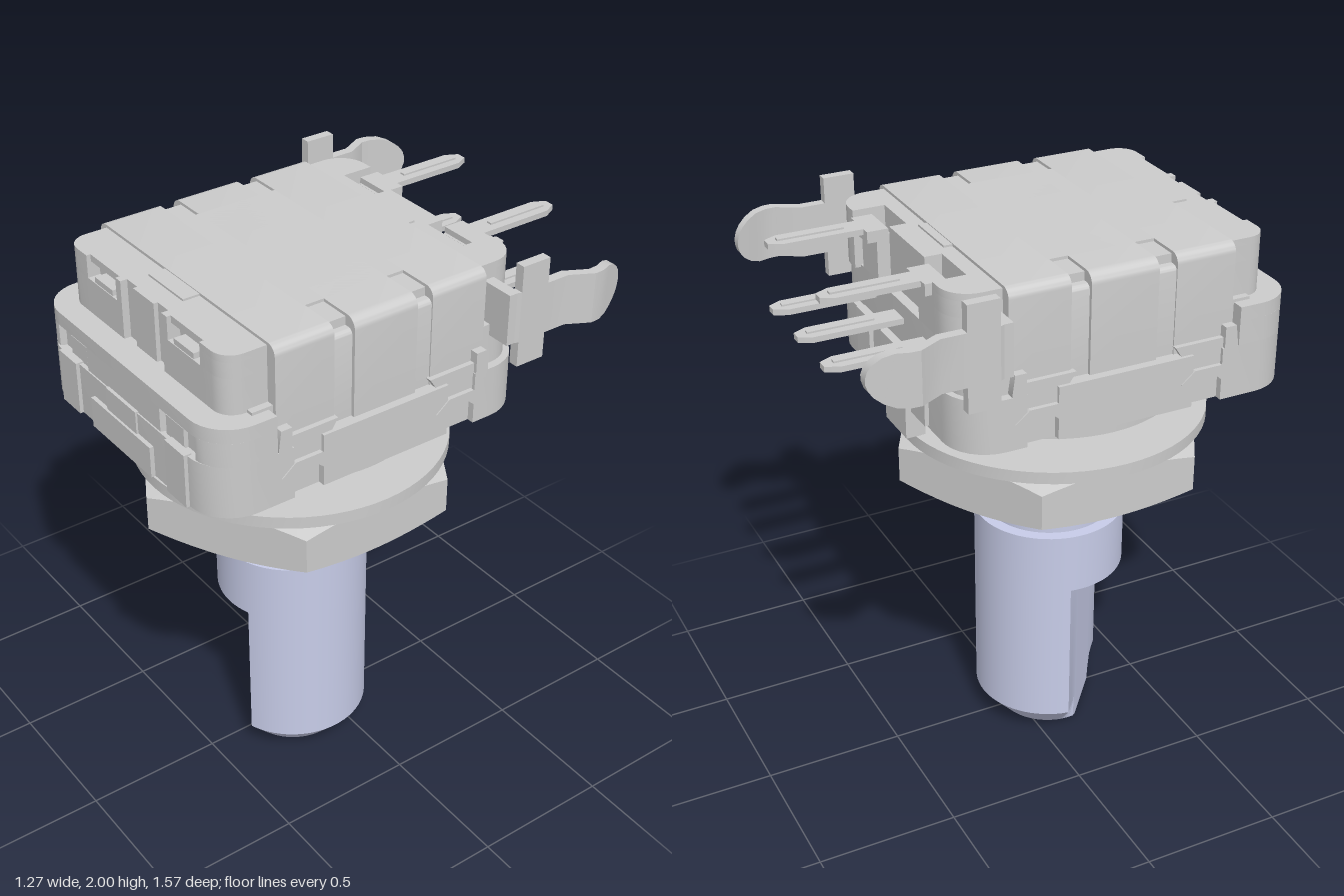
import * as THREE from 'three';
import { toCreasedNormals } from 'three/addons/utils/BufferGeometryUtils.js';

const grey = new THREE.MeshStandardMaterial({ color: 0xcccccc });
const blue = new THREE.MeshStandardMaterial({ color: 0xc7cce8 });
const AXIS = 0.127; // z of the shaft axis

export function createModel() {
  const root = new THREE.Group();
  const add = (name, geo, mat = grey, crease = 0.5) => {
    const mesh = new THREE.Mesh(toCreasedNormals(geo, crease), mat);
    mesh.name = name;
    root.add(mesh);
    return mesh;
  };
  // Box from its lower and upper limits
  const box = (name, x0, x1, y0, y1, z0, z1) => add(name,
    new THREE.BoxGeometry(x1 - x0, y1 - y0, z1 - z0).translate((x0 + x1) / 2, (y0 + y1) / 2, (z0 + z1) / 2));
  // The same box on the left and the right
  const pair = (name, x0, x1, ...rest) => {
    box(name, x0, x1, ...rest);
    box(name, -x1, -x0, ...rest);
  };
  const shapeOf = (pts) => new THREE.Shape(pts.map((p) => new THREE.Vector2(p[0], p[1])));
  const extrude = (pts, depth) => new THREE.ExtrudeGeometry(shapeOf(pts), { depth, bevelEnabled: false });
  // Plan outline (x, z) raised from y0 to y1
  const plan = (name, pts, y0, y1) => add(name, extrude(pts, y1 - y0).rotateX(Math.PI / 2).translate(0, y1, 0));
  // Side outline (z, y) between x0 and x1
  const side = (name, pts, x0, x1) => add(name, extrude(pts, x1 - x0).rotateY(-Math.PI / 2).translate(x1, 0, 0));
  const mirror = (half) => [...half, ...half.map(([x, z]) => [-x, z]).reverse()];
  const arc = (cx, cz, r, a0, a1) => Array.from({ length: 9 }, (_, i) => {
    const a = (a0 + (a1 - a0) * i / 8) * Math.PI / 180;
    return [cx + r * Math.cos(a), cz + r * Math.sin(a)];
  });
  // Surface around the shaft axis; f(row, angle) gives [radius, y], rows run upward
  const turned = (name, rows, seg, f, mat, crease) => {
    const pos = [], idx = [];
    for (let i = 0; i < rows; i++) for (let j = 0; j <= seg; j++) {
      const a = j / seg * Math.PI * 2, [r, y] = f(i, a);
      pos.push(r * Math.cos(a), y, AXIS + r * Math.sin(a));
      if (i < rows - 1 && j < seg) {
        const p = i * (seg + 1) + j, q = p + seg + 1;
        idx.push(p, q, p + 1, p + 1, q, q + 1);
      }
    }
    const g = new THREE.BufferGeometry();
    g.setAttribute('position', new THREE.Float32BufferAttribute(pos, 3));
    g.setIndex(idx);
    return add(name, g, mat, crease);
  };

  // Shaft with a slanted flat, a chamfered tip and a neck
  const shaftRows = [[0, 0], [0.185, 0], [0.27, 0.095], [0.27, 0.64], [0.27, 0.64], [0.27, 0.865],
    [0.228, 0.865], [0.228, 0.93]];
  turned('shaft', shaftRows.length, 72, (i, a) => {
    const [r, y] = shaftRows[i], c = Math.cos(a - 130 * Math.PI / 180);
    return [i < 4 && c > 0 ? Math.min(r, 0.135 / c) : r, y];
  }, blue);

  // Threaded bushing: the rows follow a helix and are clamped at both ends
  const pitch = 0.095, wave = [[0, 0.262], [0.2, 0.262], [0.52, 0.315], [0.68, 0.315]];
  turned('threadedBushing', 30, 72, (i, a) => {
    if (i === 0) return [0.2, 0.915];
    const k = i - 1, [t, r] = wave[k % 4];
    const y = 0.87 + pitch * (Math.floor(k / 4) + t - a / (2 * Math.PI));
    const yc = Math.min(1.38, Math.max(0.915, y));
    return [Math.min(r, 0.265 + (yc - 0.915) * 1.4), yc];
  });
  add('bushingCore', new THREE.CylinderGeometry(0.26, 0.26, 0.44, 48).translate(0, 1.17, AXIS));
  add('collar', new THREE.CylinderGeometry(0.453, 0.453, 0.075, 72).translate(0, 1.405, AXIS));
  add('washer', new THREE.CylinderGeometry(0.545, 0.545, 0.043, 72).translate(0, 1.273, AXIS));

  // Hexagonal nut with conical chamfers
  turned('hexNut', 6, 72, (i, a) => {
    const w = Math.PI / 3, hex = 0.5 / Math.cos(((a + w / 2) % w) - w / 2);
    const cut = (hex - 0.5) * 0.35;
    return [[0.25, 1.07], [0.5, 1.07], [hex, 1.07 + cut], [hex, 1.25 - cut], [0.5, 1.25], [0.25, 1.25]][i];
  }, grey, 0.25);

  // Base plate, front block and core of the housing
  plan('basePlate', mirror([[0, 0.765], ...arc(0.38, 0.615, 0.15, 90, 0), [0.53, 0.48], [0.505, 0.48],
    [0.505, 0.37], [0.53, 0.37], [0.53, -0.12], [0.505, -0.12], [0.505, -0.23], [0.53, -0.23],
    ...arc(0.38, -0.305, 0.15, 0, -90), [0, -0.455]]), 1.44, 1.625);
  plan('frontBlock', mirror([[0, 0.76], [0.22, 0.76], [0.23, 0.735], [0.4, 0.735], [0.41, 0.755],
    ...arc(0.39, 0.62, 0.14, 75, 0), [0.53, 0.54], [0, 0.54]]), 1.625, 1.71);
  plan('frontBlockTop', mirror([[0, 0.76], ...arc(0.39, 0.62, 0.14, 90, 0), [0.53, 0.54], [0, 0.54]]), 1.71, 1.76);
  box('housingCore', -0.485, 0.485, 1.6, 1.77, -0.34, 0.6);
  plan('rearBlock', mirror([[0, -0.28], [0.5, -0.28], ...arc(0.39, -0.32, 0.11, 0, -90), [0, -0.43]]), 1.6, 1.77);

  // Raised pads and lugs on the front and the back of the base
  box('frontPadLow', -0.18, 0.18, 1.44, 1.55, 0.75, 0.78);
  box('frontPadHigh', -0.09, 0.09, 1.55, 1.63, 0.75, 0.772);
  pair('frontPadSide', 0.27, 0.38, 1.44, 1.63, 0.75, 0.778);
  pair('frontLug', 0.24, 0.34, 1.625, 1.695, 0.7, 0.75);
  box('locatingPeg', -0.085, 0.085, 1.305, 1.6, -0.455, -0.385);
  box('locatingPegTip', -0.07, 0.07, 1.295, 1.31, -0.445, -0.395);
  pair('rearPad', 0.17, 0.28, 1.45, 1.64, -0.47, -0.44);
  box('rearPadCentre', -0.07, 0.07, 1.44, 1.64, -0.47, -0.44);

  // Cover with front pockets, a centre rib and notches for the upper pins
  const coverBack = [...arc(0.36, -0.35, 0.1, 0, -90), [0.32, -0.45], [0.32, -0.335], [0.14, -0.335],
    [0.14, -0.395], [0, -0.395]];
  const coverLayer = (name, pocket, y0, y1) => plan(name, mirror([[0, 0.665], [0.06, 0.665], [0.06, 0.65],
    [0.12, 0.65], [0.12, 0.675], [0.15, 0.675], [0.15, pocket], [0.33, pocket], [0.33, 0.675],
    ...arc(0.39, 0.605, 0.07, 90, 0), [0.46, 0.5], ...coverBack]), y0, y1);
  coverLayer('coverLower', 0.675, 1.76, 1.885);
  coverLayer('coverPockets', 0.63, 1.885, 1.94);
  coverLayer('coverTop', 0.66, 1.94, 1.965);
  pair('coverLatch', 0.18, 0.29, 1.885, 1.905, 0.6, 0.672);

  // Metal shield over the cover, cut by two relief slots on each side
  const shieldSlice = (name, x, top, z0, z1, r = 0.035) => add(name, extrude(
    mirror([[0, 1.63], [x, 1.63], ...arc(x - r, top - r, r, 0, 90), [0, top]]), z1 - z0).translate(0, 0, z0));
  shieldSlice('shieldRear', 0.5, 1.975, -0.28, -0.065);
  shieldSlice('shieldFront', 0.5, 1.975, 0.31, 0.525);
  shieldSlice('shieldArms', 0.508, 1.975, 0, 0.24, 0.04);
  shieldSlice('shieldUnderSlots', 0.495, 1.935, -0.065, 0.31, 0.02);
  box('shieldTop', -0.35, 0.35, 1.93, 1.975, -0.07, 0.315);
  box('shieldFrontTab', -0.1, 0.1, 1.9, 1.972, 0.52, 0.585);
  box('shieldRearTab', -0.1, 0.1, 1.9, 1.972, -0.31, -0.27);

  // Clips on both sides: legs with spread, forked feet
  for (const s of [1, -1]) for (const m of [1, -1]) {
    const at = (pts) => pts.map(([z, y]) => [AXIS + m * z, y]);
    const x = (a, b) => (s > 0 ? [a, b] : [-b, -a]);
    side('clipLeg', at([[0.18, 1.66], [0.22, 1.6], [0.22, 1.55], [0.25, 1.53], [0.35, 1.53], [0.375, 1.57],
      [0.36, 1.66]]), ...x(0.47, 0.518));
    side('clipFoot', at([[0.2, 1.53], [0.23, 1.5], [0.27, 1.535], [0.3, 1.52], [0.33, 1.535], [0.37, 1.5],
      [0.4, 1.53], [0.35, 1.57], [0.25, 1.57]]), ...x(0.48, 0.534));
    side('clipShoulder', at([[0.41, 1.63], [0.4, 1.6], [0.36, 1.6], [0.36, 1.7], [0.4, 1.7]]), ...x(0.46, 0.53));
  }

  // Bent mounting tabs: [z, x, half height] along each strip
  const strip = [[-0.33, 0.565, 0.09], [-0.35, 0.573, 0.09], [-0.35, 0.573, 0.18], [-0.46, 0.573, 0.18],
    [-0.46, 0.573, 0.09], [-0.545, 0.573, 0.09], [-0.625, 0.616, 0.09], [-0.66, 0.614, 0.09],
    [-0.7, 0.598, 0.088], [-0.735, 0.583, 0.074], [-0.76, 0.573, 0.054], [-0.775, 0.567, 0.033],
    [-0.782, 0.564, 0.01]];
  for (const s of [1, -1]) {
    const n = strip.length - 1, g = new THREE.BoxGeometry(0.035, 2, 1, 1, 1, n), p = g.attributes.position;
    for (let i = 0; i < p.count; i++) {
      const [z, x, h] = strip[Math.round((0.5 - p.getZ(i)) * n)];
      p.setXYZ(i, p.getX(i) + s * x, 1.82 + p.getY(i) * h, z);
    }
    add('mountingTab', g);
  }
  pair('mountingTabRoot', 0.44, 0.585, 1.73, 1.91, -0.345, -0.305);

  // Contact pins with pointed tips and a pressed rib
  const pin = (x, y) => {
    plan('pin', [[-0.04, -0.4], [-0.04, -0.74], [-0.018, -0.785], [0.018, -0.785], [0.04, -0.74], [0.04, -0.4]],
      y - 0.01, y + 0.01).position.x = x;
    box('pinRib', x - 0.01, x + 0.01, y - 0.016, y + 0.016, -0.75, -0.52);
  };
  for (const x of [-0.23, 0, 0.23]) pin(x, 1.71);
  for (const x of [-0.23, 0.23]) {
    pin(x, 1.94);
    box('pinShoulder', x - 0.07, x + 0.07, 1.91, 1.95, -0.465, -0.39);
    box('pinRoot', x - 0.065, x + 0.065, 1.77, 1.93, -0.43, -0.38);
  }
  return root;
}
